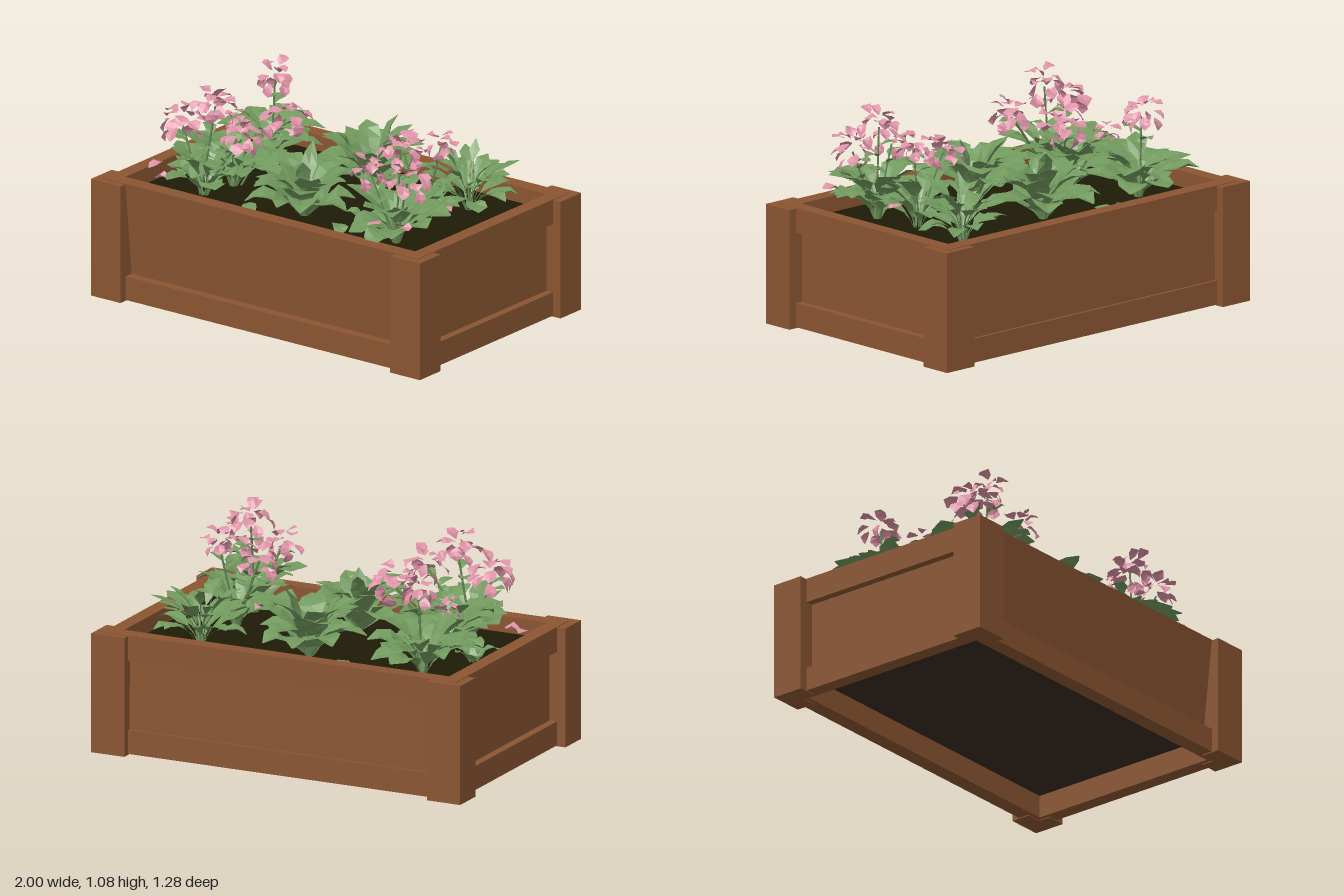
import * as THREE from 'three';
import { mergeGeometries } from 'three/addons/utils/BufferGeometryUtils.js';

const mat = (name, color, side = THREE.FrontSide) => {
  const m = new THREE.MeshStandardMaterial({ color, side });
  m.name = name;
  return m;
};

export function createModel() {
  const wood = mat('wood', 0x8a5532);
  const soilMat = mat('soil', 0x1f1a07);
  const baseMat = mat('darkBase', 0x392a21);
  const leafMat = mat('leafGreen', 0x71995e, THREE.DoubleSide);
  const stemMat = mat('stemGreen', 0x688f56);
  const pink = mat('petalPink', 0xdd92a6, THREE.DoubleSide);

  const model = new THREE.Group();
  model.name = 'flowerPlanter';
  let seed = 7;
  const rnd = (a = 0, b = 1) => {
    seed = (seed * 16807) % 2147483647;
    return a + (b - a) * (seed / 2147483647);
  };
  const add = (name, geo, m, parent = model) => {
    const mesh = new THREE.Mesh(geo, m);
    mesh.name = name;
    parent.add(mesh);
    return mesh;
  };
  // Box given by its minimum and maximum corners
  const box = (name, m, x0, x1, y0, y1, z0, z1) =>
    add(name, new THREE.BoxGeometry(x1 - x0, y1 - y0, z1 - z0), m)
      .position.set((x0 + x1) / 2, (y0 + y1) / 2, (z0 + z1) / 2);
  // Wall strip along x or z from its cross-section, as [distance from centre, height] points
  function wall(name, section, length, turn) {
    const geo = new THREE.ExtrudeGeometry(new THREE.Shape(section.map(([d, y]) => new THREE.Vector2(d, y))),
      { depth: length, bevelEnabled: false });
    add(name, geo.translate(0, 0, -length / 2), wood).rotation.y = turn;
  }

  // Walls with a bottom ledge; the front panel leans out to the rim, the others sit below a top rail
  wall('frontWall', [[0.52, 0.005], [0.6, 0.005], [0.6, 0.125], [0.55, 0.125], [0.6, 0.6], [0.52, 0.6]], 1.91, -Math.PI / 2);
  wall('backWall', [[0.52, 0.005], [0.6, 0.005], [0.6, 0.125], [0.585, 0.125], [0.58, 0.475], [0.6, 0.475], [0.6, 0.6], [0.52, 0.6]], 1.91, Math.PI / 2);
  const sideSection = [[0.88, 0.005], [0.955, 0.005], [0.955, 0.125], [0.915, 0.125], [0.915, 0.475], [0.955, 0.475], [0.955, 0.6], [0.88, 0.6]];
  wall('leftWall', sideSection, 1.04, 0);
  wall('rightWall', sideSection, 1.04, Math.PI);

  // L-shaped corner posts
  const corner = [[1, 0.64], [0.82, 0.64], [0.82, 0.54], [0.9, 0.54], [0.9, 0.475], [1, 0.475]];
  for (const sx of [-1, 1]) for (const sz of [-1, 1]) {
    const shape = new THREE.Shape(corner.map(([x, z]) => new THREE.Vector2(x * sx, -z * sz)));
    const geo = new THREE.ExtrudeGeometry(shape, { depth: 0.597, bevelEnabled: false });
    add('cornerPost', geo.rotateX(-Math.PI / 2), wood);
  }

  // Soil and the dark floor below it
  box('soil', soilMat, -0.88, 0.88, 0.14, 0.52, -0.52, 0.52);
  box('floor', baseMat, -0.88, 0.88, 0.12, 0.14, -0.52, 0.52);

  // Folded blade that bends down from its starting pitch; stalk is the narrow share of its length
  function blade(base, az, pitch, curl, length, half, n = 6, fold = 0.3, stalk = 0) {
    const d = new THREE.Vector3(Math.cos(az), 0, Math.sin(az));
    const side = new THREE.Vector3(-d.z, 0, d.x);
    const p = base.clone(), rows = [], pos = [];
    for (let i = 0; i <= n; i++) {
      const t = i / n, a = pitch - curl * t;
      const s = Math.max(0, (t - stalk) / (1 - stalk));
      const w = half * (0.08 + Math.pow(Math.sin(Math.PI * Math.pow(s, 1.2)), 0.65));
      const up = d.clone().multiplyScalar(-Math.sin(a)).setY(Math.cos(a));
      const edge = (k) => p.clone().addScaledVector(side, k * w * rnd(0.8, 1.2)).addScaledVector(up, w * fold * rnd(-0.3, 1.5));
      rows.push([edge(-1), p.clone(), edge(1)]);
      p.addScaledVector(d, Math.cos(a) * length / n);
      p.y += Math.sin(a) * length / n;
    }
    for (let i = 0; i < n; i++) for (let j = 0; j < 2; j++) {
      const A = rows[i][j], B = rows[i][j + 1], C = rows[i + 1][j], D = rows[i + 1][j + 1];
      for (const v of [A, B, C, B, D, C]) pos.push(v.x, v.y, v.z);
    }
    const g = new THREE.BufferGeometry();
    g.setAttribute('position', new THREE.Float32BufferAttribute(pos, 3));
    g.computeVertexNormals();
    return g;
  }

  // Rosette made of tiers: [count, length, pitch, curl, half width, stalk]
  function rosette(name, x, z, tiers) {
    const leaves = [];
    tiers.forEach(([count, length, pitch, curl, half, stalk = 0], k) => {
      for (let i = 0; i < count; i++) {
        const az = (i + rnd(-0.3, 0.3) + k * 0.5) / count * Math.PI * 2;
        const base = new THREE.Vector3(x + 0.02 * Math.cos(az), 0.52, z + 0.02 * Math.sin(az));
        leaves.push(blade(base, az, pitch + rnd(-0.15, 0.15), curl * rnd(0.85, 1.15), length * rnd(0.85, 1.1),
          half * rnd(0.85, 1.1), 6, 0.3, stalk));
      }
    });
    add(name, mergeGeometries(leaves), leafMat);
  }
  const broad = [[8, 0.32, 1.05, 1.6, 0.075], [8, 0.35, 1.45, 1.7, 0.07, 0.2], [6, 0.36, 1.52, 1.6, 0.05, 0.35], [2, 0.35, 1.52, 0.6, 0.035, 0.4]];
  const bushy = [[8, 0.31, 1.15, 1.7, 0.07, 0.2], [8, 0.36, 1.45, 1.8, 0.07, 0.35], [6, 0.36, 1.55, 1.7, 0.055, 0.5]];
  const small = [[7, 0.26, 1.2, 1.6, 0.06, 0.25], [6, 0.32, 1.5, 1.5, 0.055, 0.45]];
  const fine = [[10, 0.25, 1.1, 1.5, 0.045, 0.35], [10, 0.31, 1.4, 1.6, 0.042, 0.5], [8, 0.33, 1.52, 1.5, 0.036, 0.6], [2, 0.35, 1.5, 0.7, 0.03, 0.75]];
  rosette('backMiddlePlant', 0.01, -0.26, broad);
  rosette('frontMiddlePlant', 0.0, 0.25, broad);
  rosette('backRightPlant', -0.61, -0.27, bushy);
  rosette('centreRightPlant', -0.53, 0.12, bushy);
  rosette('frontRightPlant', -0.56, 0.31, small);
  rosette('sideRightPlant', -0.74, 0.0, [[5, 0.14, 1.1, 1.1, 0.035]]);
  rosette('backLeftPlant', 0.58, -0.3, fine);
  rosette('centreLeftPlant', 0.56, 0.04, small);
  rosette('frontLeftPlant', 0.59, 0.29, bushy);

  // Flower heads on stems: [x, y, z, size, root x, root z]
  const heads = [
    [-0.6, 0.93, -0.3, 0.9, -0.61, -0.28],
    [-0.33, 0.86, -0.03, 1.05, -0.5, 0.1], [-0.62, 0.78, -0.03, 0.7, -0.54, 0.1],
    [0.42, 0.87, 0.01, 0.95, 0.55, 0.04], [0.63, 0.93, -0.01, 0.8, 0.55, 0.04],
    [-0.68, 0.86, 0.33, 1.05, -0.58, 0.32], [-0.51, 0.98, 0.29, 0.95, -0.58, 0.32], [-0.32, 0.86, 0.33, 0.95, -0.56, 0.32],
    [0.46, 0.86, 0.33, 0.85, 0.58, 0.3], [0.6, 0.98, 0.27, 0.95, 0.59, 0.3], [0.7, 0.86, 0.35, 0.95, 0.6, 0.3],
  ];
  for (const [x, y, z, size, rx, rz] of heads) {
    const flower = new THREE.Group();
    flower.name = 'flower';
    model.add(flower);
    const centre = new THREE.Vector3(x, y, z), petals = [];
    const stem = new THREE.QuadraticBezierCurve3(
      new THREE.Vector3(rx, 0.52, rz), new THREE.Vector3((rx + x) / 2, 0.72, (rz + z) / 2), centre);
    add('flowerStem', new THREE.TubeGeometry(stem, 6, 0.006, 4), stemMat, flower);
    const stemLeaves = [0.55, 0.7, 0.8].map((t) => blade(stem.getPoint(t), rnd(0, 6.28), 0.7, 1.2, 0.1, 0.028, 4));
    add('stemLeaves', mergeGeometries(stemLeaves), leafMat, flower);
    // Petals overlap like loose shingles around the head
    const count = Math.round(15 * size);
    for (let i = 0; i < count; i++) {
      const az = i * 2.4, el = 1.4 - 1.9 * i / count, r = rnd(0.04, 0.085) * size;
      const base = new THREE.Vector3(Math.cos(az) * Math.cos(el), Math.sin(el), Math.sin(az) * Math.cos(el)).multiplyScalar(r).add(centre);
      petals.push(blade(base, az + rnd(-0.9, 0.9), el - rnd(0.3, 1.4), 0.9, 0.075 * size, 0.031 * size, 3, 0.4));
    }
    add('petals', mergeGeometries(petals), pink, flower);
  }

  // Loose petals low among the leaves
  const loose = [[-0.87, 0.6, 0.35], [-0.8, 0.58, 0.38], [0.5, 0.62, 0.42], [0.33, 0.66, -0.06], [0.74, 0.64, 0.05], [0.72, 0.66, 0.42]]
    .map(([x, y, z]) => blade(new THREE.Vector3(x, y, z), rnd(0, 6), 0.4, 0.9, 0.09, 0.035, 3, 0.4));
  add('loosePetals', mergeGeometries(loose), pink);

  // Fallen leaves on the soil
  const fallen = [[-0.3, -0.42], [-0.24, -0.46], [0.27, 0.12], [-0.2, 0.42], [0.33, 0.4], [-0.78, 0.2]]
    .map(([x, z]) => blade(new THREE.Vector3(x, 0.53, z), rnd(0, 6), 0.6, 0.9, 0.1, 0.035, 4));
  add('fallenLeaves', mergeGeometries(fallen), leafMat);

  return model;
}
